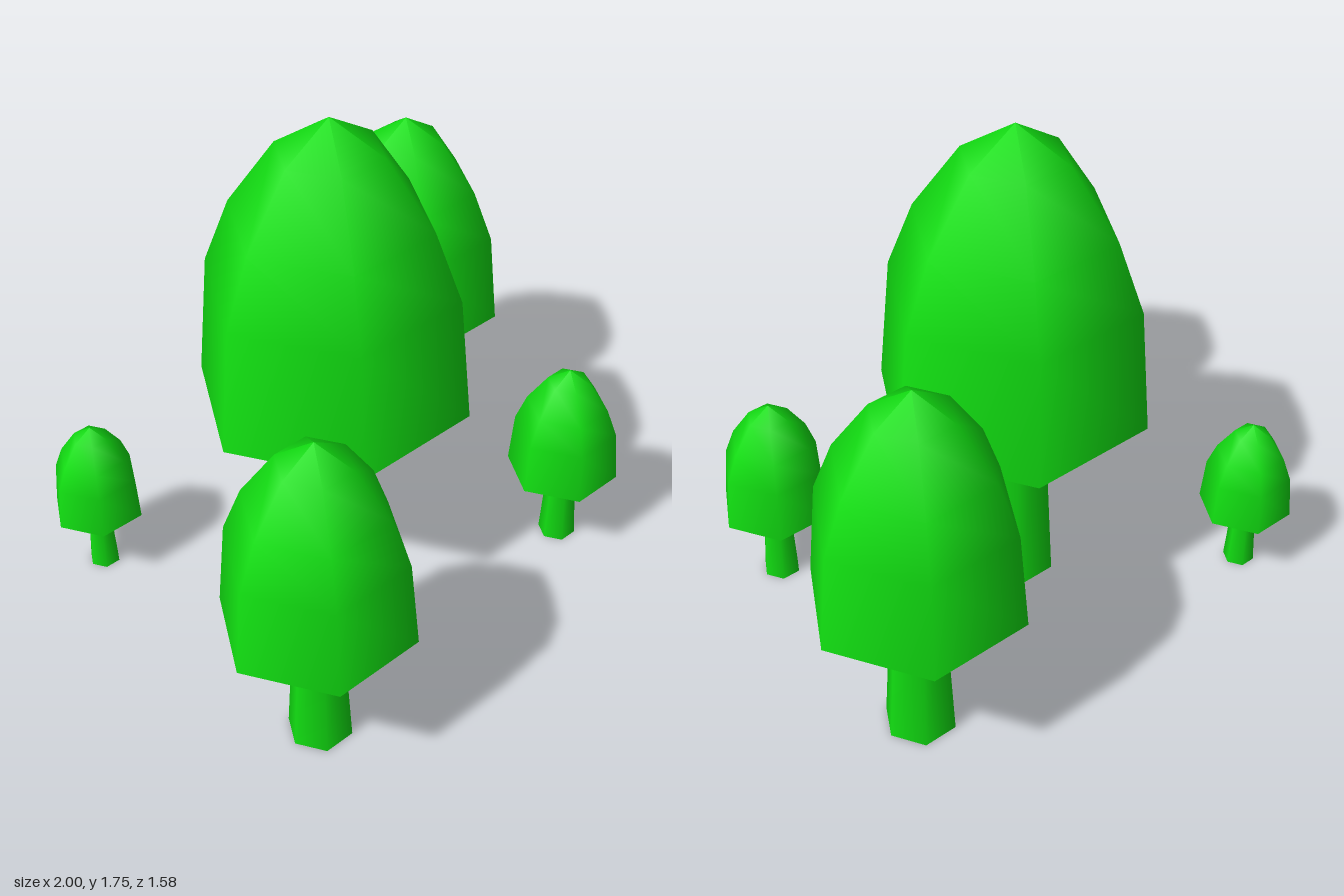
import * as THREE from 'three';

const SIDES = 6;
const START = Math.PI / 2; // puts hexagon corners on the x axis
const CAP_BASE = 0.715;
const CAP_RADIUS = 0.475;

// Position and scale of each tree: x, z, scale
const TREES = [
  ['centreTree', -0.08, -0.08, 1],
  ['backLeftTree', 0.64, -0.48, 0.756],
  ['frontRightTree', -0.68, 0.51, 0.674],
  ['frontLeftSapling', 0.58, 0.4, 0.413],
  ['backRightSapling', -0.72, -0.605, 0.34],
];

export function createModel() {
  const model = new THREE.Group();
  model.name = 'treeGrove';
  const green = new THREE.MeshStandardMaterial({ color: 0x11dd11 });

  // Tapered trunk
  const trunkGeo = new THREE.CylinderGeometry(0.118, 0.16, CAP_BASE, SIDES, 1, false, START);
  trunkGeo.translate(0, CAP_BASE / 2, 0);

  // Bullet-shaped crown, smooth around its six sides
  const profile = [
    [CAP_RADIUS, CAP_BASE], [0.435, 1.163], [0.344, 1.402], [0.18, 1.642], [0, 1.755],
  ].map(([r, y]) => new THREE.Vector2(r, y));
  const crownGeo = new THREE.LatheGeometry(profile, SIDES, START);

  // Flat underside of the crown
  const undersideGeo = new THREE.CircleGeometry(CAP_RADIUS, SIDES);
  undersideGeo.rotateX(Math.PI / 2).translate(0, CAP_BASE, 0);

  const parts = { trunk: trunkGeo, crown: crownGeo, crownUnderside: undersideGeo };

  for (const [name, x, z, scale] of TREES) {
    const tree = new THREE.Group();
    tree.name = name;
    for (const [part, geometry] of Object.entries(parts)) {
      const mesh = new THREE.Mesh(geometry, green);
      mesh.name = part;
      tree.add(mesh);
    }
    tree.position.set(x, 0, z);
    tree.scale.setScalar(scale);
    model.add(tree);
  }
  return model;
}
